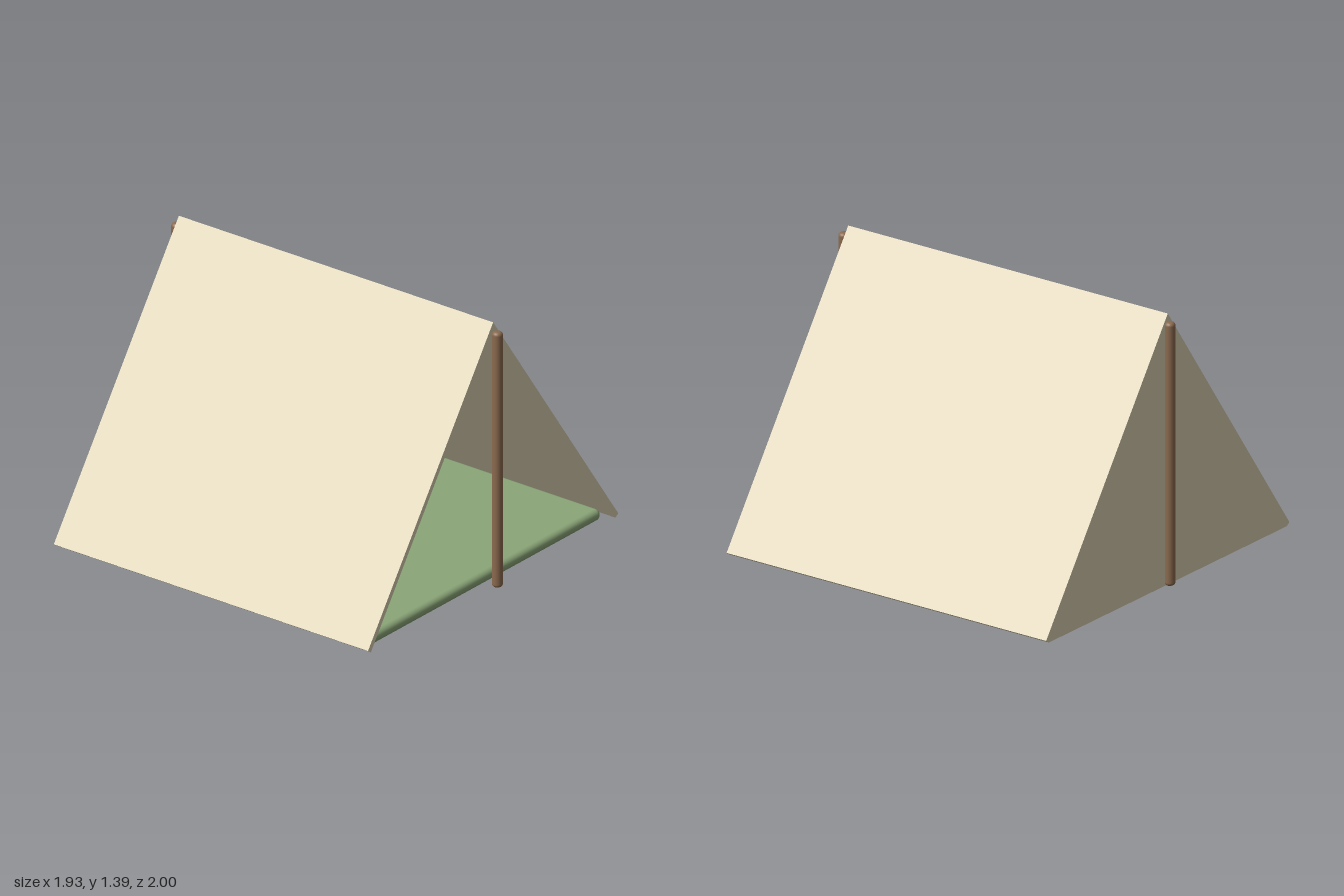
import * as THREE from 'three';
import { RoundedBoxGeometry } from 'three/addons/geometries/RoundedBoxGeometry.js';

const material = (color) => new THREE.MeshStandardMaterial({ color });

// Straight prism with the given outline, running from z0 to z1
function prism(points, z0, z1, mat, name) {
  const shape = new THREE.Shape(points.map(([x, y]) => new THREE.Vector2(x, y)));
  const geo = new THREE.ExtrudeGeometry(shape, { depth: z1 - z0, bevelEnabled: false });
  geo.translate(0, 0, z0);
  const mesh = new THREE.Mesh(geo, mat);
  mesh.name = name;
  return mesh;
}

// Upright round pole with softened ends
function pole(z, mat, name) {
  const r = 0.027, h = 1.35, b = 0.018, steps = 5;
  const profile = [new THREE.Vector2(0, 0)];
  for (let i = 0; i <= steps; i++) {
    const a = (i / steps) * Math.PI / 2;
    profile.push(new THREE.Vector2(r - b + b * Math.sin(a), b - b * Math.cos(a)));
  }
  for (let i = 0; i <= steps; i++) {
    const a = (i / steps) * Math.PI / 2;
    profile.push(new THREE.Vector2(r - b + b * Math.cos(a), h - b + b * Math.sin(a)));
  }
  profile.push(new THREE.Vector2(0, h));
  const mesh = new THREE.Mesh(new THREE.LatheGeometry(profile, 24), mat);
  mesh.position.z = z;
  mesh.name = name;
  return mesh;
}

export function createModel() {
  const group = new THREE.Group();
  group.name = 'tent';
  const canvas = material(0xd9ceb0);
  const wood = material(0x8b6a4e);
  const green = material(0x8ba678);

  const front = 0.947, back = -0.96, wallInner = -0.937;

  // Sloping roof panels, one outline covering both sides of the ridge
  group.add(prism([
    [0, 1.39], [-0.967, 0.015], [-0.945, 0], [0, 1.347], [0.945, 0], [0.967, 0.015],
  ], wallInner, front, canvas, 'roofPanels'));

  // Closed rear wall
  group.add(prism([
    [0, 1.39], [-0.967, 0.015], [-0.945, 0], [0.945, 0], [0.967, 0.015],
  ], back, wallInner, canvas, 'backWall'));

  // Padded ground mat
  const mat = new THREE.Mesh(new RoundedBoxGeometry(1.77, 0.06, 1.84, 5, 0.029), green);
  mat.position.set(0, 0.03, -0.007);
  mat.name = 'groundMat';
  group.add(mat);

  // Poles at each end of the ridge
  group.add(pole(0.973, wood, 'frontPole'), pole(-0.973, wood, 'backPole'));

  return group;
}
